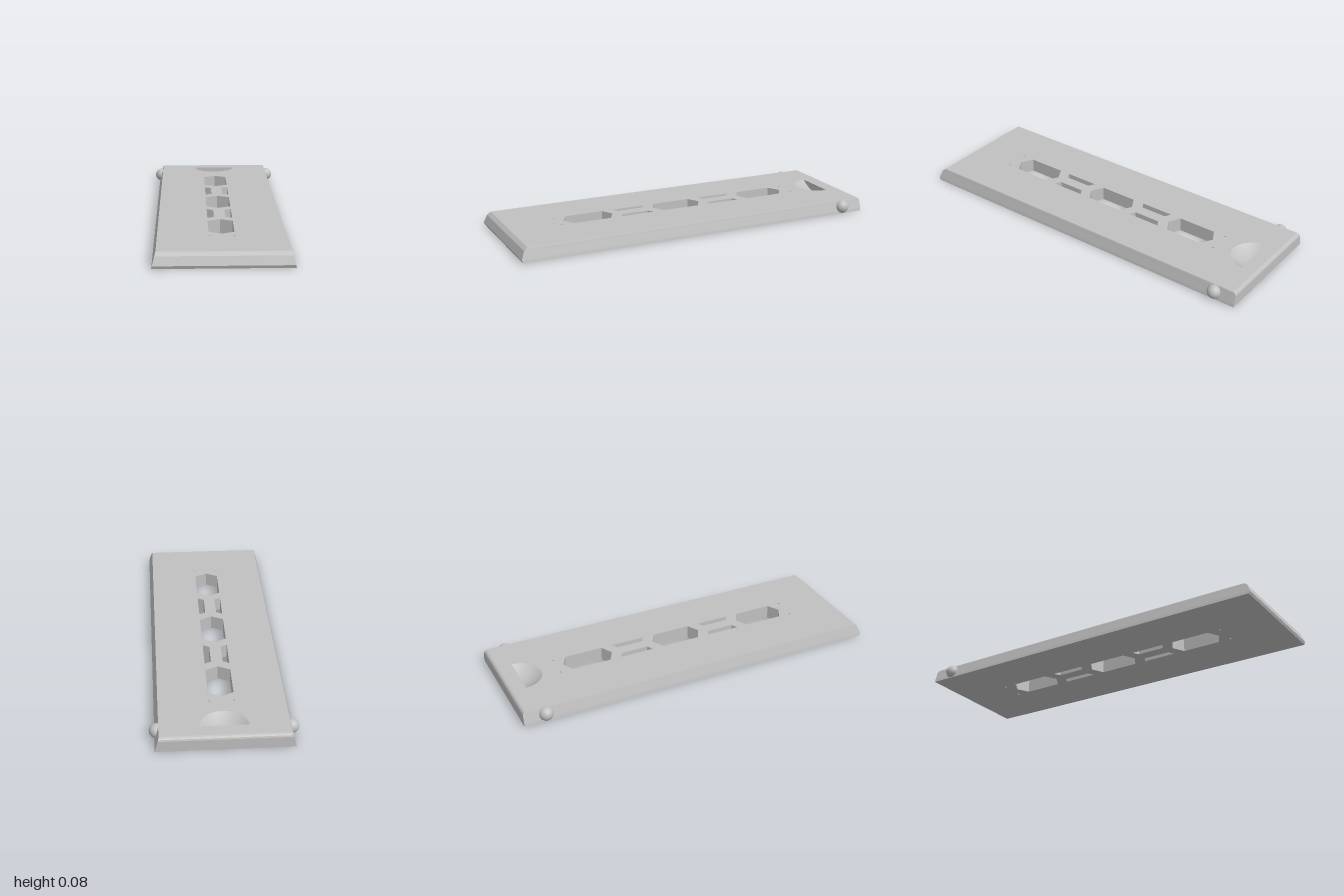
import * as THREE from 'three';

const H = 0.075;                                  // slab thickness
const RECESS = { z: -0.91, rx: 0.12, rz: 0.122, depth: 0.045 };

// Cross-section levels: y, half width, front z, back z
const LEVELS = [
  [0, 0.34, 0.994, -1],
  [0.015, 0.337, 1, -1],
  [0.058, 0.325, 0.983, -1],
  [0.066, 0.323, 0.974, -0.997],
  [0.072, 0.321, 0.967, -0.991],
  [H, 0.32, 0.963, -0.982],
];

// Flat horizontal face from [x, z] outlines, facing up or down
function cap(outline, holes, y, up) {
  const s = up ? -1 : 1;
  const pts = (loop) => loop.map(([x, z]) => new THREE.Vector2(x, s * z));
  const shape = new THREE.Shape(pts(outline));
  shape.holes = holes.map((h) => new THREE.Path(pts(h)));
  return new THREE.ShapeGeometry(shape).rotateX((s * Math.PI) / 2).translate(0, y, 0);
}

// Flat-shaded walls joining one [x, z] loop at y0 to another at y1
function walls(low, y0, high, y1) {
  const pos = [];
  low.forEach((a, i) => {
    const j = (i + 1) % low.length;
    const a0 = [a[0], y0, a[1]], a1 = [low[j][0], y0, low[j][1]];
    const b0 = [high[i][0], y1, high[i][1]], b1 = [high[j][0], y1, high[j][1]];
    pos.push(...a0, ...a1, ...b1, ...a0, ...b1, ...b0);
  });
  const g = new THREE.BufferGeometry();
  g.setAttribute('position', new THREE.Float32BufferAttribute(pos, 3));
  g.computeVertexNormals();
  return g;
}

export function createModel() {
  const model = new THREE.Group();
  model.name = 'slidingCover';
  const grey = new THREE.MeshStandardMaterial({ color: 0xc0c0c0 });
  grey.name = 'grey';
  const add = (name, geometry) => {
    const mesh = new THREE.Mesh(geometry, grey);
    mesh.name = name;
    model.add(mesh);
    return mesh;
  };

  // Through-holes, all clockwise from above
  const holes = [];
  for (const c of [-0.523, 0, 0.52]) {
    holes.push([[0, c - 0.14], [0.065, c - 0.105], [0.065, c + 0.105],
      [0, c + 0.14], [-0.065, c + 0.105], [-0.065, c - 0.105]]);
  }
  for (const c of [-0.262, 0.26]) {
    const slit = [[0.031, c - 0.074], [0.065, c - 0.093], [0.065, c + 0.093], [0.031, c + 0.074]];
    holes.push(slit, slit.map(([x, z]) => [-x, z]).reverse());
  }
  for (const x of [-0.062, 0.062]) {
    for (const z of [-0.7, 0.695]) {
      holes.push(Array.from({ length: 8 }, (_, i) => {
        const t = (i * Math.PI) / 4;
        return [x + 0.006 * Math.cos(t), z + 0.006 * Math.sin(t)];
      }));
    }
  }

  // Slab sides with sloped flanks, chamfered front and rounded back edge
  const loops = LEVELS.map(([, w, f, b]) => [[-w, f], [w, f], [w, b], [-w, b]]);
  for (let i = 0; i + 1 < LEVELS.length; i++) {
    add('rim' + i, walls(loops[i], LEVELS[i][0], loops[i + 1], LEVELS[i + 1][0]));
  }
  holes.forEach((h, i) => add('holeWall' + i, walls(h, 0, h, H)));

  // Top and bottom faces
  const N = 24;
  const { z: rz0, rx, rz, depth } = RECESS;
  const recessEdge = Array.from({ length: N + 1 }, (_, i) => {
    const t = (i * Math.PI) / N;
    return [rx * Math.cos(t), rz0 + rz * Math.sin(t)];
  });
  add('topFace', cap(loops[loops.length - 1], [...holes, recessEdge], H, true));
  add('bottomFace', cap(loops[0], holes, 0, false));

  // Thumb recess: scooped floor and upright back wall
  const bowl = new THREE.RingGeometry(0, 1, N, 8, Math.PI, Math.PI).rotateX(-Math.PI / 2);
  const p = bowl.attributes.position;
  for (let i = 0; i < p.count; i++) {
    const x = p.getX(i), z = p.getZ(i);
    p.setXYZ(i, x * rx, H - depth * (1 - x * x - z * z), rz0 + z * rz);
  }
  bowl.computeVertexNormals();
  add('thumbRecessFloor', bowl);
  const arc = Array.from({ length: 17 }, (_, i) => {
    const u = i / 8 - 1;
    return new THREE.Vector2(u * rx, H - depth * (1 - u * u));
  });
  add('thumbRecessWall', new THREE.ShapeGeometry(new THREE.Shape(arc)).translate(0, 0, rz0));

  // Round snap bumps on both flanks
  for (const s of [-1, 1]) {
    add(s > 0 ? 'leftBump' : 'rightBump', new THREE.SphereGeometry(0.037, 32, 20))
      .position.set(s * 0.329, 0.038, -0.88);
  }
  return model;
}
